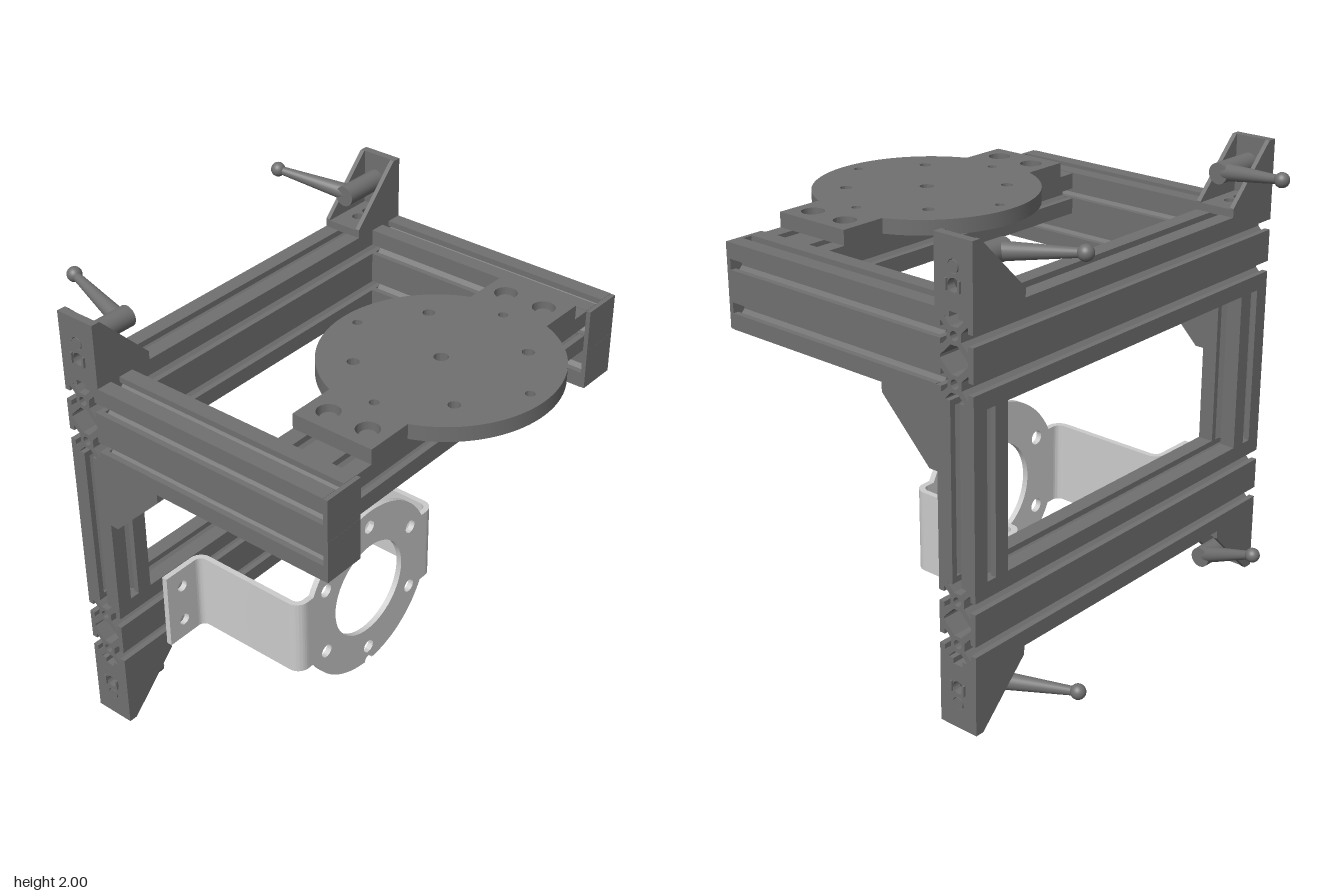
import * as THREE from 'three';
import { toCreasedNormals } from 'three/addons/utils/BufferGeometryUtils.js';

const dark = new THREE.MeshStandardMaterial({ color: 0x707070 });
const light = new THREE.MeshStandardMaterial({ color: 0xcccccc });
const V = (x, y, z) => new THREE.Vector3(x, y, z);
const H = 0.0925; // half the width of one beam cell

function mesh(name, geometry, material = dark) {
  const m = new THREE.Mesh(geometry, material);
  m.name = name;
  return m;
}

function extrude(shape, depth) {
  const g = new THREE.ExtrudeGeometry(shape, { depth, bevelEnabled: false, curveSegments: 24 });
  return toCreasedNormals(g, 0.5);
}

// Put an object at a point with its local x and y axes along the given directions
function place(object, x, y, position) {
  const basis = new THREE.Matrix4().makeBasis(x, y, x.clone().cross(y));
  object.quaternion.setFromRotationMatrix(basis);
  object.position.copy(position);
  return object;
}

function addHole(shape, x, y, r) {
  shape.holes.push(new THREE.Path().absarc(x, y, r, 0, Math.PI * 2, true));
}

// Cylinder between two points
function rod(name, a, b, ra, rb = ra, material = dark) {
  const d = b.clone().sub(a);
  const m = mesh(name, new THREE.CylinderGeometry(rb, ra, d.length(), 24), material);
  m.position.copy(a).add(b).multiplyScalar(0.5);
  m.quaternion.setFromUnitVectors(V(0, 1, 0), d.normalize());
  return m;
}

// T-slotted beam section of one cell, or two cells stacked in y
function slottedSection(cells) {
  const slot = [[H, -0.023], [0.0675, -0.023], [0.0675, -0.045], [0.0625, -0.045], [0.035, -0.0175],
    [0.035, 0.0175], [0.0625, 0.045], [0.0675, 0.045], [0.0675, 0.023], [H, 0.023]];
  const points = [];
  const cut = (turns, cy) => slot.forEach(([x, y]) => {
    const p = new THREE.Vector2(x, y).rotateAround(new THREE.Vector2(), turns * Math.PI / 2);
    points.push(p.add(new THREE.Vector2(0, cy)));
  });
  const centres = cells === 1 ? [0] : [-H, H];
  const top = cells * H;
  points.push(new THREE.Vector2(H, -top));
  centres.forEach(c => cut(0, c));
  points.push(new THREE.Vector2(H, top));
  cut(1, centres[cells - 1]);
  points.push(new THREE.Vector2(-H, top));
  [...centres].reverse().forEach(c => cut(2, c));
  points.push(new THREE.Vector2(-H, -top));
  cut(3, centres[0]);
  const shape = new THREE.Shape(points);
  centres.forEach(c => addHole(shape, 0, c, 0.019));
  if (cells === 2) {
    const cavity = [[0.07, 0.005], [0.0175, 0.0575], [-0.0175, 0.0575], [-0.07, 0.005],
      [-0.07, -0.005], [-0.0175, -0.0575], [0.0175, -0.0575], [0.07, -0.005]];
    shape.holes.push(new THREE.Path(cavity.map(p => new THREE.Vector2(...p))));
  }
  return shape;
}

function beam(name, cells, length) {
  return mesh(name, extrude(slottedSection(cells), length));
}

// Disc of radius R with a straight strip across it along y
function discWithStrip(R, halfWidth, halfLength, notch = 0) {
  const a = Math.acos(halfWidth / R), d = notch / R;
  const s = new THREE.Shape();
  s.moveTo(halfWidth, halfLength);
  s.lineTo(-halfWidth, halfLength);
  s.absarc(0, 0, R, Math.PI - a, Math.PI - d, false);
  if (notch) s.absarc(-R, 0, notch, Math.PI / 2, -Math.PI / 2, true);
  s.absarc(0, 0, R, Math.PI + d, Math.PI + a, false);
  s.lineTo(-halfWidth, -halfLength);
  s.lineTo(halfWidth, -halfLength);
  s.absarc(0, 0, R, -a, a, false);
  return s;
}

// Angle bracket: corner at the origin, legs along +x and +y, two triangular ribs
function cornerBracket(name, bolted) {
  const g = new THREE.Group();
  g.name = name;
  const L = 0.28, t = 0.035;
  for (const leg of [0, 1]) {
    const s = new THREE.Shape([[-H, 0], [H, 0], [H, L], [-H, L]].map(p => new THREE.Vector2(...p)));
    addHole(s, 0, 0.1, 0.027);
    addHole(s, 0, 0.17, 0.027);
    const plate = mesh('bracketPlate', extrude(s, t));
    g.add(leg ? place(plate, V(0, 0, -1), V(0, 1, 0), V(0, 0, 0))
      : place(plate, V(0, 0, 1), V(1, 0, 0), V(0, 0, 0)));
    if (bolted) for (const d of [0.1, 0.17]) {
      g.add(leg ? rod('bracketBolt', V(0, d, 0), V(t + 0.008, d, 0), 0.026)
        : rod('bracketBolt', V(d, 0, 0), V(d, t + 0.008, 0), 0.026));
    }
  }
  const rib = new THREE.Shape([[0, 0], [L, 0], [L, 0.04], [0.04, L], [0, L]].map(p => new THREE.Vector2(...p)));
  for (const z of [-H, H - 0.02]) {
    const m = mesh('bracketRib', extrude(rib, 0.02));
    m.position.z = z;
    g.add(m);
  }
  // Locating lugs beside the hole
  for (const z of [-0.032, 0.032]) {
    const lug = mesh('bracketLug', new THREE.BoxGeometry(0.02, 0.045, 0.01));
    lug.position.set(0, 0.1, z);
    g.add(lug);
  }
  return g;
}

// Clamping lever with hub, stud, tapered arm and ball
function clampLever(y, s, tip) {
  const g = new THREE.Group();
  g.name = 'clampLever';
  const x = -0.5725;
  const ball = mesh('leverBall', new THREE.SphereGeometry(0.032, 24, 16));
  ball.position.copy(tip);
  g.add(rod('leverHub', V(x, y, 0.66 * s), V(x, y, 0.88 * s), 0.045),
    rod('leverStud', V(x, y, 0.88 * s), V(x, y, 0.932 * s), 0.024),
    rod('leverArm', V(x, y, 0.7 * s), tip, 0.038, 0.017), ball);
  return g;
}

export function createModel() {
  const model = new THREE.Group();
  model.name = 'slottedBeamFrame';
  const X = V(1, 0, 0), Y = V(0, 1, 0), Z = V(0, 0, 1);
  const back = -0.5725;

  // Long beams across the back
  for (const y of [0.4675, 1.5375]) {
    model.add(place(beam('backBeam', 2, 1.86), X, Y, V(back, y, -0.93)));
  }
  // Posts, side arms, brackets and levers on both sides
  for (const s of [-1, 1]) {
    const z = s * 0.8375;
    model.add(place(beam('post', 1, 0.705), Z, X, V(back, 0.65, z)));
    for (const y of [1.4475, 1.63]) {
      model.add(place(beam('sideArm', 1, 1.115), Y, Z, V(-0.48, y, z)));
      const cap = mesh('armEndCap', new THREE.BoxGeometry(0.02, 0.182, 0.185));
      cap.position.set(0.645, y, z);
      model.add(cap);
    }
    const inward = V(0, 0, -s), down = V(0, -1, 0);
    model.add(place(cornerBracket('upperBracket', false), inward, Y, V(back, 1.72, s * 0.93)),
      place(cornerBracket('lowerBracket', false), inward, down, V(back, 0.285, s * 0.93)),
      place(cornerBracket('armBrace', true), X, down, V(-0.48, 1.355, z)),
      clampLever(1.89, s, V(-0.91, 1.935, s * 0.615)),
      clampLever(0.115, s, s > 0 ? V(-0.88, 0.255, 0.61) : V(-0.91, 0.16, -0.615)));
  }
  // Flat cross beam under the round plate
  model.add(place(beam('crossBeam', 2, 1.49), Y, V(-1, 0, 0), V(0.45, 1.6275, -0.745)));

  // Round mounting plate
  const plate = discWithStrip(0.485, 0.185, 0.66);
  addHole(plate, 0, 0, 0.03);
  for (const s of [-1, 1]) {
    addHole(plate, s * 0.413, 0, 0.02);
    addHole(plate, 0, s * 0.413, 0.02);
    for (const q of [-1, 1]) {
      addHole(plate, s * 0.24, q * 0.24, 0.025);
      addHole(plate, s * 0.0925, q * 0.565, 0.048);
      const x = 0.45 + s * 0.0925, z = q * 0.565;
      model.add(rod('plateCounterbore', V(x, 1.72, z), V(x, 1.735, z), 0.048),
        rod('plateBolt', V(x, 1.72, z), V(x, 1.76, z), 0.034));
    }
  }
  model.add(place(mesh('roundPlate', extrude(plate, 0.065)), X, Z, V(0.45, 1.785, 0)));

  // Sheet-metal holder: ring face
  const holder = new THREE.Group();
  holder.name = 'ringHolder';
  const ring = discWithStrip(0.415, 0.1825, 0.4, 0.025);
  addHole(ring, 0, 0, 0.23);
  for (let i = 0; i < 6; i++) {
    const a = i * Math.PI / 3;
    addHole(ring, 0.335 * Math.cos(a), 0.335 * Math.sin(a), 0.032);
  }
  holder.add(place(mesh('ringFace', extrude(ring, 0.026), light), Y, Z, V(0.08, 0, 0)));

  // Bent side walls and drilled flanges
  const P = Math.PI;
  const wall = new THREE.Shape();
  wall.moveTo(-0.48, 0.5);
  wall.absarc(-0.422, 0.5, 0.058, P, 1.5 * P, false);
  wall.absarc(0.048, 0.41, 0.032, P / 2, 0, true);
  wall.lineTo(0.08, 0.4);
  wall.lineTo(0.106, 0.4);
  wall.absarc(0.048, 0.41, 0.058, 0, P / 2, false);
  wall.absarc(-0.422, 0.5, 0.032, 1.5 * P, P, true);
  const flange = new THREE.Shape([[-0.1825, 0.5], [0.1825, 0.5], [0.1825, 0.675], [-0.1825, 0.675]]
    .map(p => new THREE.Vector2(...p)));
  for (const y of [-0.0925, 0.0925]) addHole(flange, y, 0.585, 0.027);
  for (const turn of [0, P]) {
    const side = new THREE.Group();
    side.name = 'holderSide';
    side.add(place(mesh('holderWall', extrude(wall, 0.365), light), X, Z, V(0, 0.1825, 0)),
      place(mesh('holderFlange', extrude(flange, 0.026), light), Y, Z, V(-0.48, 0, 0)));
    side.rotation.x = turn;
    holder.add(side);
  }
  holder.position.y = 0.4675;
  model.add(holder);
  return model;
}
